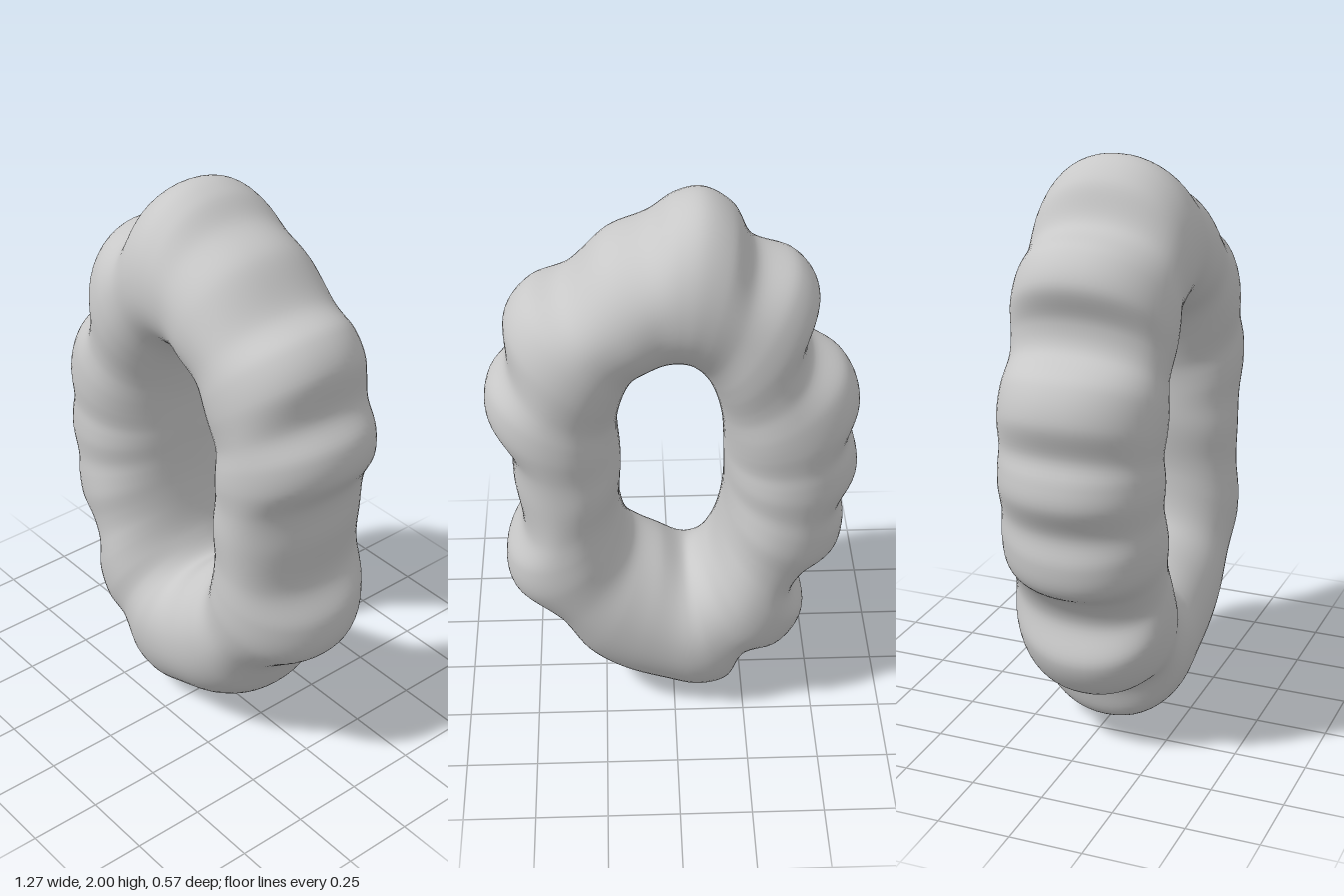
import * as THREE from 'three';

// Outer outline of the knobbly ring at mid depth, clockwise from the top
const OUTER = [
  [-0.1, 2.0], [-0.01, 1.98], [0.08, 1.91], [0.22, 1.85], [0.36, 1.71], [0.48, 1.67], [0.55, 1.58],
  [0.555, 1.42], [0.62, 1.33], [0.63, 1.23], [0.56, 1.1], [0.55, 0.95], [0.53, 0.76], [0.59, 0.63],
  [0.58, 0.5], [0.43, 0.37], [0.33, 0.2], [0.2, 0.1], [0.04, 0.04], [-0.1, 0.0], [-0.21, 0.035],
  [-0.27, 0.18], [-0.4, 0.21], [-0.475, 0.34], [-0.43, 0.48], [-0.48, 0.575], [-0.58, 0.65],
  [-0.6, 0.75], [-0.585, 0.85], [-0.635, 0.97], [-0.625, 1.05], [-0.6, 1.12], [-0.63, 1.25],
  [-0.58, 1.37], [-0.46, 1.445], [-0.44, 1.53], [-0.475, 1.66], [-0.41, 1.76], [-0.27, 1.81], [-0.2, 1.94],
];

// Outline of the opening, clockwise from the top
const INNER = [
  [-0.03, 1.44], [0.11, 1.395], [0.185, 1.21], [0.18, 1.0], [0.185, 0.81], [0.14, 0.66], [0.04, 0.6],
  [-0.05, 0.55], [-0.12, 0.62], [-0.17, 0.81], [-0.175, 1.02], [-0.16, 1.21], [-0.105, 1.37],
];

const loop = (pts) =>
  new THREE.CatmullRomCurve3(pts.map(([x, y]) => new THREE.Vector3(x, y, 0)), true, 'centripetal');

// Angle around the centre after squeezing an oval of radii rx, ry to a circle
const ovalAngle = (p, rx, ry) => Math.atan2((p.y - 1) / ry, p.x / rx);

const angleGap = (a, b) => Math.abs(Math.atan2(Math.sin(a - b), Math.cos(a - b)));

const rounded = (v) => Math.sign(v) * Math.pow(Math.abs(v), 2 / 2.12);

// Running average of a closed line, which irons out the knobs
function smoothed(pts, reach) {
  return pts.map((_, i) => {
    const sum = new THREE.Vector3();
    for (let k = -reach; k <= reach; k++) sum.add(pts[(i + k + pts.length) % pts.length]);
    return sum.divideScalar(2 * reach + 1);
  });
}

function ringGeometry(around = 320, across = 56) {
  const outer = loop(OUTER).getSpacedPoints(around).slice(0, around);
  const base = smoothed(outer, 13);
  const inner = loop(INNER).getSpacedPoints(2400).map((p) => ({ p, a: ovalAngle(p, 0.18, 0.44) }));
  const positions = [];
  const index = [];

  base.forEach((o, i) => {
    // Matching point on the opening
    const angle = ovalAngle(o, 0.6, 1);
    let best = inner[0];
    for (const c of inner) if (angleGap(c.a, angle) < angleGap(best.a, angle)) best = c;
    const mid = o.clone().add(best.p).multiplyScalar(0.5);
    const half = o.clone().sub(best.p).multiplyScalar(0.5);
    // Knobs stand out from the smooth tube and are slightly thicker
    const knob = outer[i].clone().sub(o);
    const depth = 0.277 + 0.15 * knob.dot(half) / half.length();

    for (let j = 0; j < across; j++) {
      const t = (j / across) * Math.PI * 2;
      const c = rounded(Math.cos(t));
      // Knobs fade away towards the front and back faces
      const fade = Math.pow(Math.max(c, 0), 1.5);
      positions.push(
        mid.x + half.x * c + knob.x * fade,
        mid.y + half.y * c + knob.y * fade,
        depth * rounded(Math.sin(t)),
      );

      const i2 = (i + 1) % around;
      const j2 = (j + 1) % across;
      const a = i * across + j, b = i2 * across + j, d = i * across + j2, e = i2 * across + j2;
      index.push(a, d, b, b, d, e);
    }
  });

  const geometry = new THREE.BufferGeometry();
  geometry.setAttribute('position', new THREE.Float32BufferAttribute(positions, 3));
  geometry.setIndex(index);
  geometry.computeVertexNormals();
  return geometry;
}

export function createModel() {
  const group = new THREE.Group();
  group.name = 'knobblyRing';
  const grey = new THREE.MeshStandardMaterial({ color: 0xc8c8c8 });
  grey.name = 'plain grey';
  const ring = new THREE.Mesh(ringGeometry(), grey);
  ring.name = 'ring';
  group.add(ring);
  return group;
}
